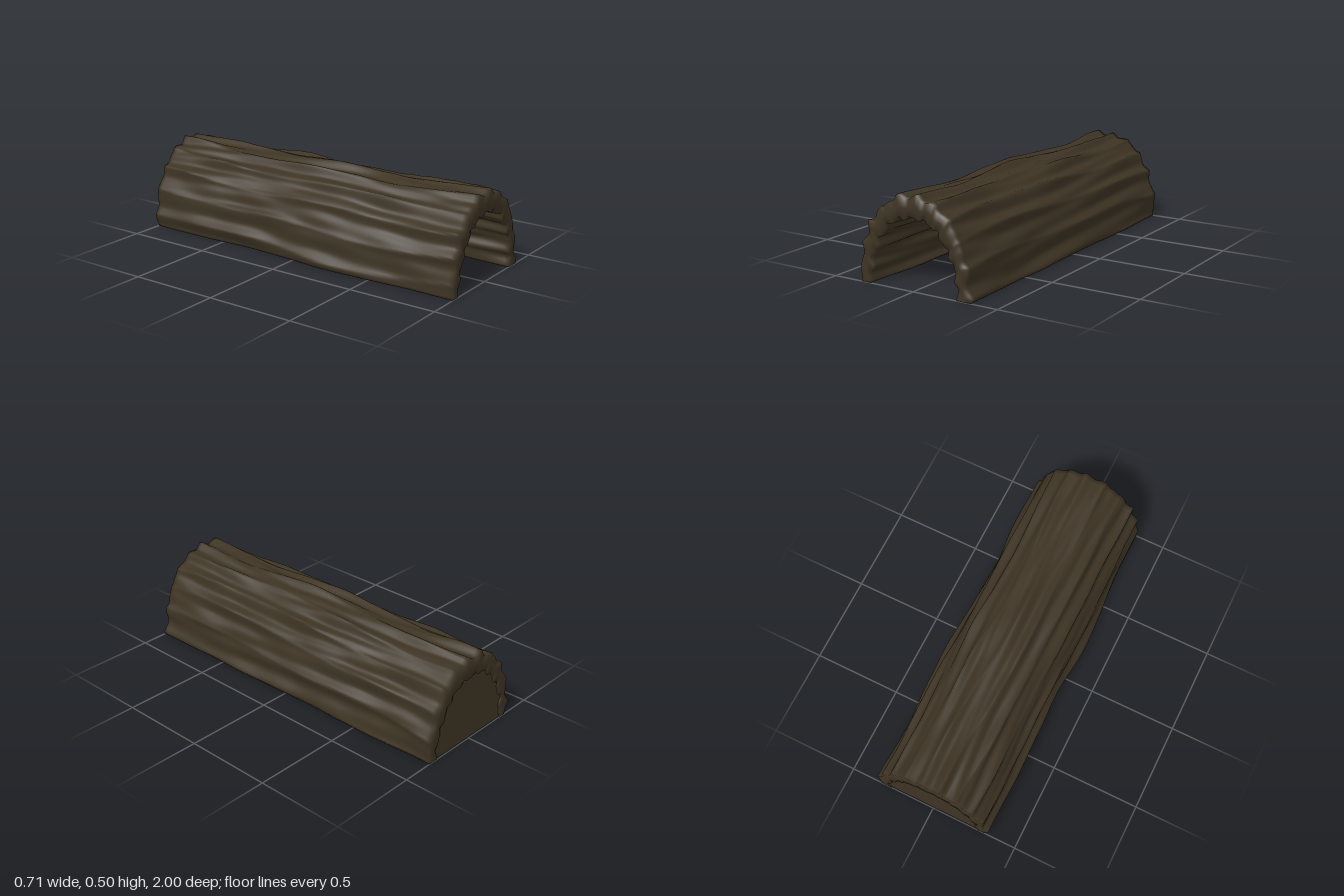
import * as THREE from 'three';

const ARCH = 144;  // steps around the arch
const ROWS = 72;   // steps along the length

// Point on an arch with half-width rx and height ry
function archPoint(t, rx, ry, z) {
  const c = Math.cos(t), s = Math.max(0, Math.sin(t));
  return [rx * Math.sign(c) * Math.abs(c) ** 0.94, ry * s ** 0.94, z];
}

// Sharp bark ridges that wander and swell along the length
function barkPoint(t, z) {
  const drift = 0.5 * Math.sin(2.2 * z - 2.2) + 0.3 * Math.sin(4.1 * z + 3 * t);
  const height = 0.021 + 0.006 * Math.sin(7 * z + 8 * t);
  const ridge = height * (1 - Math.abs(Math.sin(10.4 * t + drift)));
  const fine = 0.005 * Math.sin(27 * t + 2 * Math.sin(2.3 * z + t));
  const knots = 0.003 * Math.sin(13 * z + 6 * t) * Math.sin(19 * t - 4 * z);
  const swell = 0.005 * Math.cos(6.2 * z + 1.5 * Math.cos(t));
  const d = ridge + fine + knots + swell;
  return archPoint(t, 0.321 + d, 0.469 + d, z);
}

// Softer grain inside the hollow
function hollowPoint(t, z) {
  const d = 0.008 * Math.sin(21 * t + 1.4 * Math.sin(2.4 * z + 1))
    + 0.004 * Math.sin(37 * t + 3 * z) + 0.004 * Math.cos(6 * z + 2 * t)
    + 0.003 * Math.sin(12 * z + 7 * t);
  return archPoint(t, 0.263 + d, 0.381 + d, z);
}

function midPoint(t, z) {
  const a = barkPoint(t, z), b = hollowPoint(t, z);
  return [(a[0] + b[0]) / 2, (a[1] + b[1]) / 2, z];
}

// Bark, front rim, hollow and back rim form one closed loop, with flat feet
function shellGeometry() {
  const pos = [], idx = [];
  const loop = 2 * (ROWS + 1) + 2;
  for (let i = 0; i <= ARCH; i++) {
    const t = Math.PI * i / ARCH;
    for (let j = 0; j <= ROWS; j++) pos.push(...barkPoint(t, -1 + 2 * j / ROWS));
    pos.push(...midPoint(t, 1));
    for (let j = ROWS; j >= 0; j--) pos.push(...hollowPoint(t, -1 + 2 * j / ROWS));
    pos.push(...midPoint(t, -1));
  }
  for (let i = 0; i < ARCH; i++) {
    for (let j = 0; j < loop; j++) {
      const k = (j + 1) % loop;
      const a = i * loop + j, b = a + loop;
      const d = i * loop + k, c = d + loop;
      idx.push(a, b, c, a, c, d);
    }
  }
  // Feet: join bark edge to hollow edge along both sides
  const last = ARCH * loop;
  for (let j = 0; j < ROWS; j++) {
    const inner = loop - 2 - j;
    idx.push(j, j + 1, inner, inner, j + 1, inner - 1);
    idx.push(last + j, last + inner, last + j + 1);
    idx.push(last + inner, last + inner - 1, last + j + 1);
  }
  const geo = new THREE.BufferGeometry();
  geo.setAttribute('position', new THREE.Float32BufferAttribute(pos, 3));
  geo.setIndex(idx);
  geo.computeVertexNormals();
  return geo;
}

export function createModel() {
  const group = new THREE.Group();
  group.name = 'hollowHalfLog';
  const wood = new THREE.MeshStandardMaterial({ color: 0x3e3424 });
  const thinWood = new THREE.MeshStandardMaterial({ color: 0x3e3424, side: THREE.DoubleSide });

  const shell = new THREE.Mesh(shellGeometry(), wood);
  shell.name = 'barkShell';

  // Thin wall closing the back end
  const outline = [];
  for (let i = 0; i <= 72; i++) {
    const [x, y] = midPoint(Math.PI * i / 72, -1);
    outline.push(new THREE.Vector2(x, y));
  }
  const wall = new THREE.Mesh(new THREE.ShapeGeometry(new THREE.Shape(outline)), thinWood);
  wall.name = 'backWall';
  wall.position.z = -0.995;

  group.add(shell, wall);
  return group;
}
